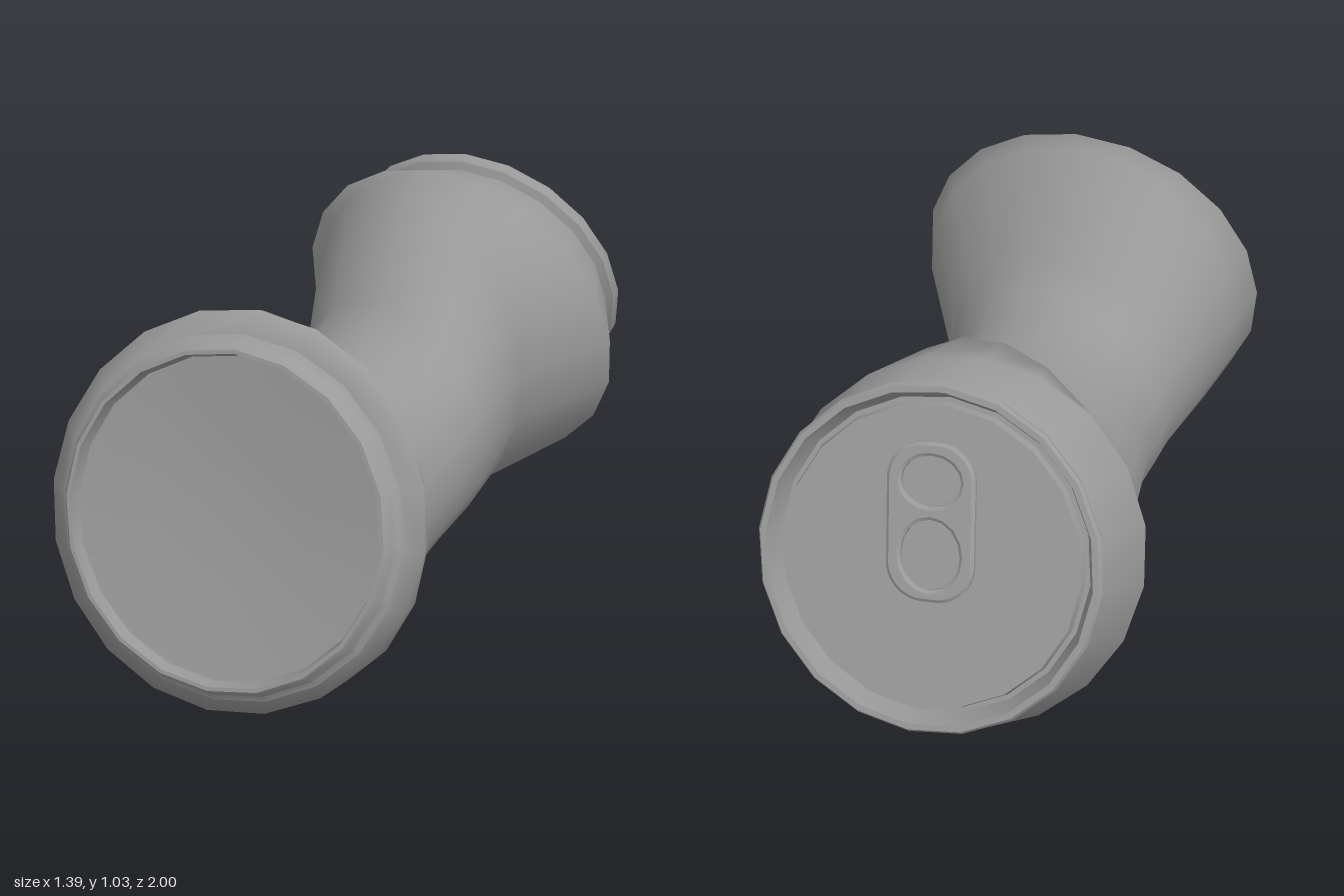
import * as THREE from 'three';
import { toCreasedNormals } from 'three/addons/utils/BufferGeometryUtils.js';

const SIDES = 20;
const V3 = (x, y, z) => new THREE.Vector3(x, y, z);

// Local frame of a can end: n points outward, v is "up" in the end's plane
function endFrame(centre, normal) {
  const n = normal.clone().normalize();
  const v = V3(0, 1, 0).addScaledVector(n, -n.y).normalize();
  const u = n.clone().cross(v);
  return { centre, n, v, u };
}

// Round section of an end at height h along its axis
function roundSection(f, r, h) {
  const sign = f.u.x < 0 ? -1 : 1;
  return {
    c: f.centre.clone().addScaledVector(f.n, h),
    U: f.u.clone().multiplyScalar(r * sign),
    V: f.v.clone().multiplyScalar(r),
  };
}

// Oval section from its left edge (x,z), right edge (x,z), top (y,z) and bottom (y,z)
function ovalSection([x0, z0], [x1, z1], [yT, zT], [yB, zB]) {
  return {
    c: V3((x0 + x1) / 2, (yT + yB) / 2, (z0 + z1 + zT + zB) / 4),
    U: V3((x1 - x0) / 2, 0, (z1 - z0) / 2),
    V: V3(0, (yT - yB) / 2, (zT - zB) / 2),
  };
}

// Skin through a row of sections
function loft(sections) {
  const pos = [], index = [];
  sections.forEach(({ c, U, V }, s) => {
    for (let i = 0; i < SIDES; i++) {
      const a = (i / SIDES) * Math.PI * 2;
      const p = c.clone().addScaledVector(U, Math.cos(a)).addScaledVector(V, Math.sin(a));
      pos.push(p.x, p.y, p.z);
      if (s === sections.length - 1) continue;
      const j = (i + 1) % SIDES, k = s * SIDES;
      index.push(k + i, k + SIDES + i, k + j, k + j, k + SIDES + i, k + SIDES + j);
    }
  });
  const g = new THREE.BufferGeometry();
  g.setAttribute('position', new THREE.Float32BufferAttribute(pos, 3));
  g.setIndex(index);
  g.computeVertexNormals();
  return g;
}

// Pull tab outline: rounded rectangle with two finger holes
function tabShape() {
  const w = 0.102, l = 0.187, r = 0.085;
  const s = new THREE.Shape();
  s.absarc(w - r, l - r, r, 0, Math.PI / 2, false);
  s.absarc(r - w, l - r, r, Math.PI / 2, Math.PI, false);
  s.absarc(r - w, r - l, r, Math.PI, Math.PI * 1.5, false);
  s.absarc(w - r, r - l, r, Math.PI * 1.5, Math.PI * 2, false);
  s.closePath();
  for (const [y, ry] of [[0.1, 0.07], [-0.08, 0.095]]) {
    const hole = new THREE.Path();
    hole.absellipse(0, y, 0.083, ry, 0, Math.PI * 2, true);
    s.holes.push(hole);
  }
  return s;
}

export function createModel() {
  const can = new THREE.Group();
  can.name = 'crushedCan';
  const metal = new THREE.MeshStandardMaterial({ color: 0x999999 });
  metal.name = 'grey metal';

  const add = (parent, name, geometry) => {
    const mesh = new THREE.Mesh(geometry, metal);
    mesh.name = name;
    parent.add(mesh);
    return mesh;
  };

  const base = endFrame(V3(0.255, 0.54, 0.825), V3(0.33, 0.24, 0.9));
  const lid = endFrame(V3(-0.275, 0.635, -0.815), V3(-0.25, 0.37, -0.895));

  // Dented wall, from the base chamfer over both shoulders to the lid neck
  add(can, 'body', loft([
    roundSection(base, 0.45, -0.045),
    ovalSection([-0.26, 0.9], [0.695, 0.59], [1.02, 0.65], [0.025, 0.86]),
    ovalSection([-0.265, 0.78], [0.65, 0.54], [1.0, 0.59], [0.0, 0.68]),
    ovalSection([-0.26, 0.42], [0.53, 0.43], [0.73, 0.46], [0.01, 0.43]),
    ovalSection([-0.275, 0.32], [0.45, 0.33], [0.68, 0.34], [0.02, 0.33]),
    ovalSection([-0.295, 0.22], [0.37, 0.21], [0.655, 0.2], [0.04, 0.21]),
    ovalSection([-0.385, 0], [0.3, 0], [0.66, 0], [0.055, 0]),
    ovalSection([-0.48, -0.24], [0.235, -0.2], [0.72, -0.18], [0.05, -0.24]),
    ovalSection([-0.62, -0.44], [0.18, -0.42], [1.0, -0.39], [0.045, -0.48]),
    ovalSection([-0.7, -0.53], [0.24, -0.77], [1.018, -0.48], [0.072, -0.76]),
    roundSection(lid, 0.405, -0.05),
  ]));

  // Turned end caps with crisp steps
  const addEnd = (name, frame, profile) => {
    const end = new THREE.Group();
    end.name = name;
    end.position.copy(frame.centre);
    end.quaternion.setFromRotationMatrix(new THREE.Matrix4().makeBasis(frame.u, frame.n, frame.v));
    can.add(end);
    const points = profile.map(([r, h]) => new THREE.Vector2(r, h));
    add(end, name + 'Shell', toCreasedNormals(new THREE.LatheGeometry(points, SIDES), 0.6));
    return end;
  };

  addEnd('base', base, [
    [0.45, -0.045], [0.435, -0.035], [0.424, -0.008], [0.417, 0],
    [0.407, 0], [0.399, -0.035], [0.2, -0.055], [0, -0.063],
  ]);

  const lidEnd = addEnd('lid', lid, [
    [0.405, -0.05], [0.425, -0.035], [0.432, -0.01], [0.425, 0],
    [0.41, 0], [0.39, -0.055], [0.378, -0.055], [0.372, -0.035], [0, -0.035],
  ]);

  // Pull tab lying on the lid panel
  const tab = add(lidEnd, 'pullTab', toCreasedNormals(new THREE.ExtrudeGeometry(tabShape(), {
    depth: 0.012, bevelEnabled: true, bevelThickness: 0.006, bevelSize: 0.008, bevelSegments: 1, curveSegments: 8,
  }), 0.6));
  tab.rotation.set(-Math.PI / 2, 0, Math.PI + 0.09);
  tab.position.set(0.005, -0.03, 0.09);
  return can;
}
